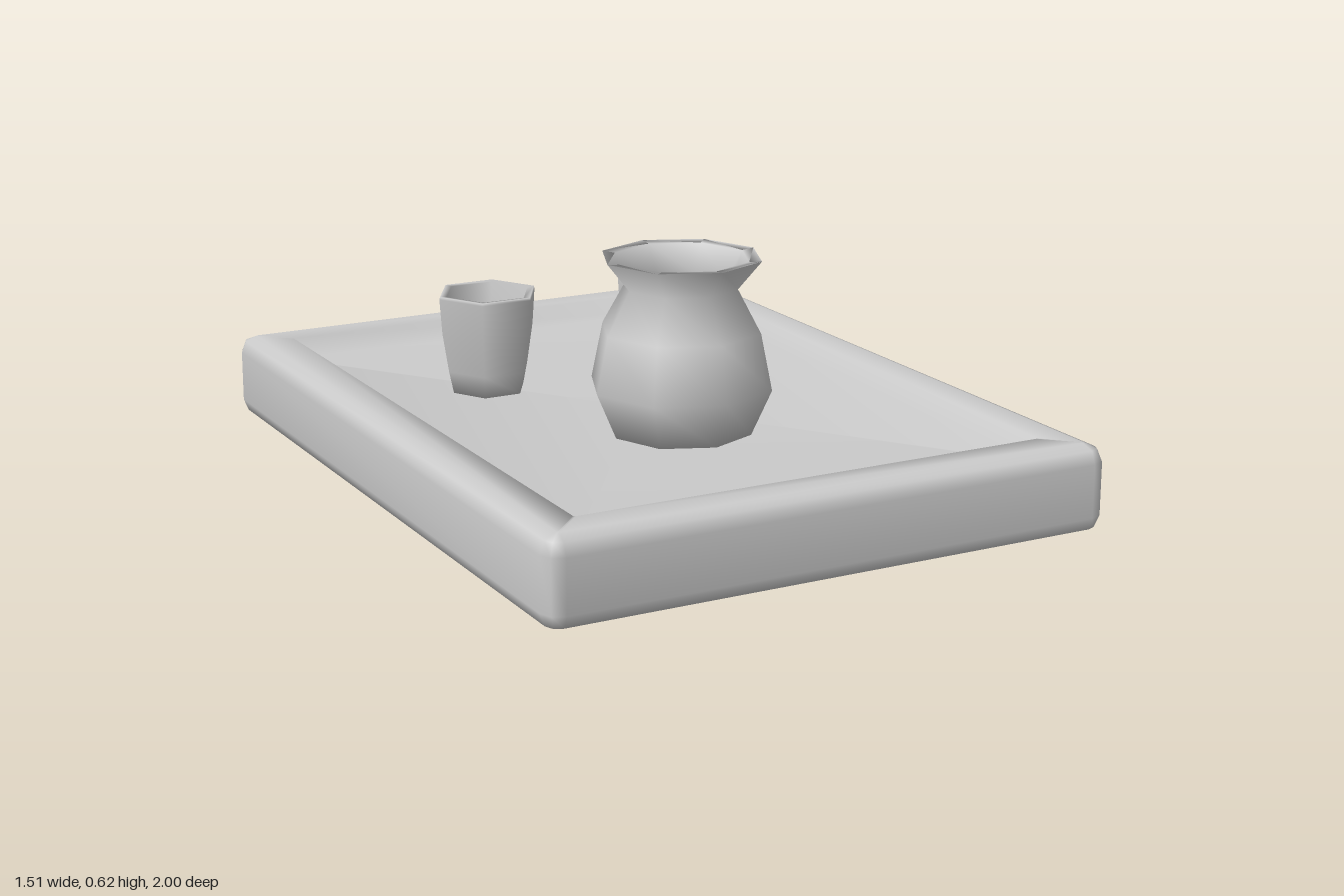
import * as THREE from 'three';

const grey = () => new THREE.MeshStandardMaterial({ color: 0xcccccc });
const FLOOR = 0.165;

// Corner points of a rounded rectangle, wound so that +y loops stack outward
function roundedLoop(hw, hd, r, y) {
  const pts = [];
  const corners = [[1, 1], [1, -1], [-1, -1], [-1, 1]];
  corners.forEach(([sx, sz], c) => {
    for (let i = 0; i <= 2; i++) {
      const a = c * Math.PI / 2 + i * Math.PI / 4; // angle from +z towards +x, then on round
      const b = Math.PI / 2 - a + Math.PI / 2;
      pts.push([sx * (hw - r) + r * Math.cos(b - Math.PI / 2), y, sz * (hd - r) + r * Math.sin(b - Math.PI / 2)]);
    }
  });
  return pts;
}

// Tray: stacked loops from the underside, up the wall, over the rim, into the recess
function trayGeometry() {
  const R = 0.045;
  const sections = [ // inset, height
    [R, 0], [0.013, 0.013], [0, R], [0, 0.18], [0.013, 0.212],
    [R, 0.225], [0.125, 0.225], [0.128, FLOOR],
  ];
  const pos = [], index = [];
  for (const [inset, y] of sections) {
    const r = Math.max(R - inset, 0.005);
    pos.push(...roundedLoop(0.755 - inset, 1 - inset, r, y).flat());
  }
  const n = 12, last = (sections.length - 1) * n;
  for (let s = 0; s < sections.length - 1; s++) {
    for (let i = 0; i < n; i++) {
      const a = s * n + i, b = s * n + (i + 1) % n;
      index.push(a, a + n, b, b, a + n, b + n);
    }
  }
  // Underside and recess floor
  const bottom = pos.length / 3, top = bottom + 1;
  pos.push(0, 0, 0, 0, FLOOR, 0);
  for (let i = 0; i < n; i++) {
    const j = (i + 1) % n;
    index.push(bottom, i, j, top, last + j, last + i);
  }
  // Turn the faces outward
  for (let i = 0; i < index.length; i += 3) {
    [index[i + 1], index[i + 2]] = [index[i + 2], index[i + 1]];
  }
  const g = new THREE.BufferGeometry();
  g.setAttribute('position', new THREE.Float32BufferAttribute(pos, 3));
  g.setIndex(index);
  g.computeVertexNormals();
  return g;
}

// Hollow vessel: outside profile upwards, then inside profile downwards
function vessel(name, profile, sides, x, z, turn) {
  const pts = profile.map(([r, y]) => new THREE.Vector2(r, y));
  const mesh = new THREE.Mesh(new THREE.LatheGeometry(pts, sides), grey());
  mesh.name = name;
  mesh.position.set(x, 0, z);
  mesh.rotation.y = turn;
  return mesh;
}

export function createModel() {
  const model = new THREE.Group();
  model.name = 'traySet';

  const tray = new THREE.Mesh(trayGeometry(), grey());
  tray.name = 'tray';
  model.add(tray);

  // Eight-sided flask with a flared lip
  model.add(vessel('flask', [
    [0, FLOOR], [0.185, FLOOR], [0.238, 0.285], [0.208, 0.43], [0.147, 0.54],
    [0.208, 0.615], [0.175, 0.612], [0.13, 0.54], [0.185, 0.42], [0.205, 0.29],
    [0.15, 0.2], [0, 0.195],
  ], 8, 0, 0.22, 0));

  // Six-sided cups
  const cup = [
    [0, FLOOR], [0.102, FLOOR], [0.115, 0.225], [0.132, 0.33], [0.139, 0.425], [0.137, 0.432],
    [0.118, 0.43], [0.108, 0.3], [0.088, 0.215], [0, 0.205],
  ];
  model.add(vessel('rightCup', cup, 6, -0.273, -0.353, Math.PI / 2));
  model.add(vessel('leftCup', cup, 6, 0.257, -0.353, Math.PI / 2));
  return model;
}
